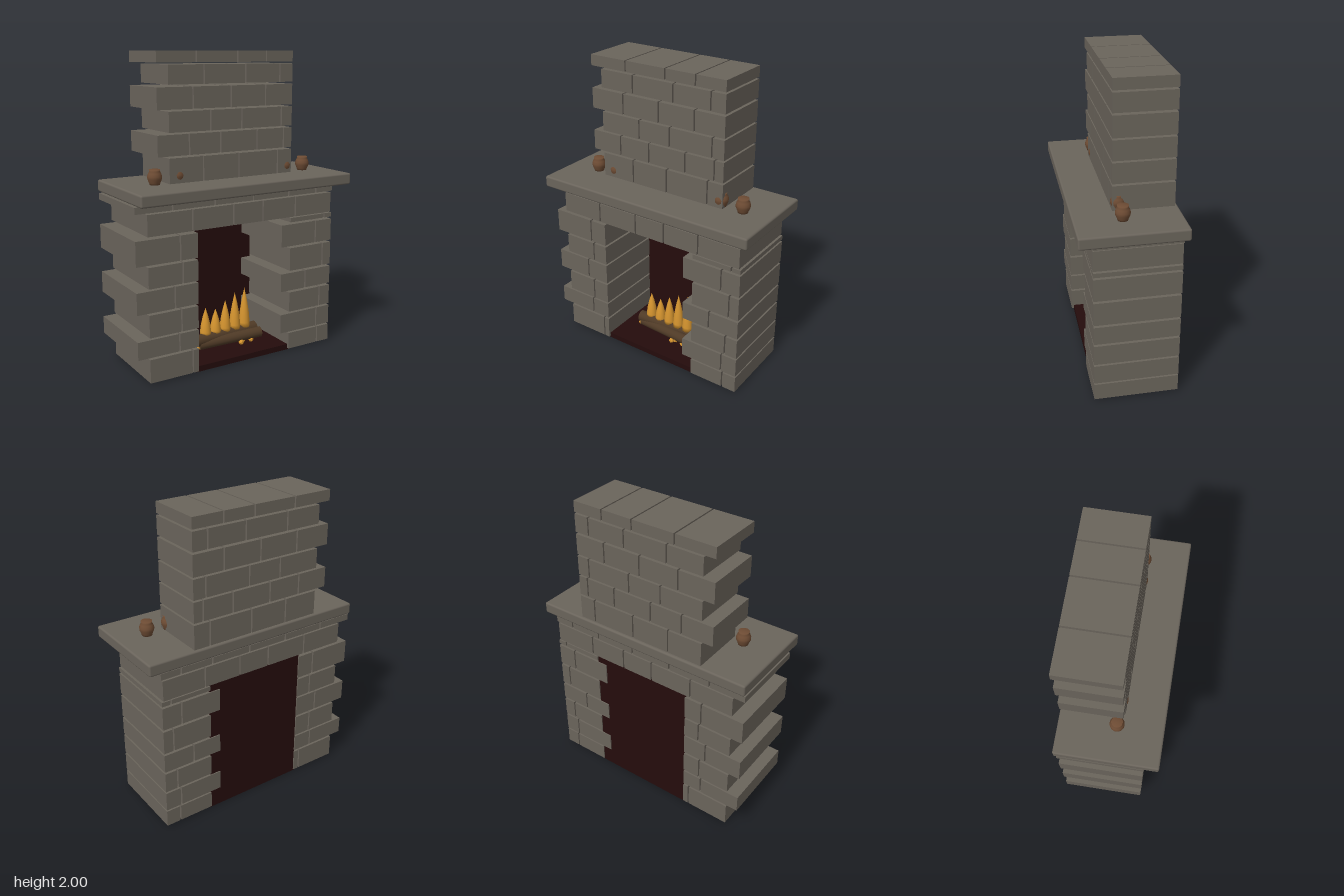
import * as THREE from 'three';
import { RoundedBoxGeometry } from 'three/addons/geometries/RoundedBoxGeometry.js';

const mat = (name, color, flatShading = false) => {
  const m = new THREE.MeshStandardMaterial({ color });
  m.name = name;
  m.flatShading = flatShading;
  return m;
};

export function createModel() {
  const stone = mat('stone', 0x6a645b);
  const soot = mat('soot', 0x240c0c);
  const clay = mat('clay', 0x6e4c34);
  const bark = mat('bark', 0x4f3a26);
  const fire = mat('fire', 0xd6952f);
  const model = new THREE.Group();
  model.name = 'fireplace';

  const add = (parent, name, geometry, material, x, y, z) => {
    const mesh = new THREE.Mesh(geometry, material);
    mesh.name = name;
    mesh.position.set(x, y, z);
    parent.add(mesh);
    return mesh;
  };
  const box = (parent, name, material, x0, x1, y0, y1, z0, z1) =>
    add(parent, name, new THREE.BoxGeometry(x1 - x0, y1 - y0, z1 - z0), material,
      (x0 + x1) / 2, (y0 + y1) / 2, (z0 + z1) / 2);

  // Courses of bricks: each row is [bottom, top, outer edge, joints..., outer edge]
  const GAP = 0.01, BACK = -0.307;
  const masonry = (name, front, rows) => {
    const group = new THREE.Group();
    group.name = name;
    model.add(group);
    for (const [y0, y1, ...xs] of rows) {
      for (let i = 0; i < xs.length - 1; i++) {
        const a = xs[i] + (i > 0 ? GAP / 2 : 0);
        const b = xs[i + 1] - (i < xs.length - 2 ? GAP / 2 : 0);
        box(group, 'brick', stone, a, b, y0, y1, BACK, front);
      }
    }
  };

  masonry('chimney', 0.075, [
    [1.93, 2.0, -0.535, -0.265, 0.03, 0.247, 0.455],
    [1.8, 1.918, -0.457, -0.212, 0.09, 0.354, 0.455],
    [1.652, 1.786, -0.535, -0.29, -0.018, 0.243, 0.455],
    [1.513, 1.64, -0.457, -0.167, 0.063, 0.37, 0.455],
    [1.37, 1.501, -0.535, -0.318, -0.094, 0.18, 0.39, 0.455],
    [1.2, 1.357, -0.457, -0.22, 0.042, 0.344, 0.455],
  ]);
  masonry('lintel', 0.23, [
    [1.073, 1.115, -0.767, -0.521, -0.228, 0.053, 0.328, 0.55, 0.687],
    [0.93, 1.063, -0.687, -0.386, -0.093, 0.127, 0.383, 0.677],
  ]);
  masonry('rightColumn', 0.23, [
    [0.757, 0.913, -0.767, -0.471, -0.35],
    [0.61, 0.743, -0.687, -0.455, -0.35],
    [0.46, 0.598, -0.767, -0.511, -0.35],
    [0.302, 0.446, -0.687, -0.468, -0.35],
    [0.176, 0.29, -0.767, -0.484, -0.35],
    [0.01, 0.162, -0.687, -0.391, -0.35],
  ]);
  masonry('leftColumn', 0.23, [
    [0.894, 0.923, 0.348, 0.625, 0.687],
    [0.732, 0.88, 0.278, 0.555, 0.687],
    [0.562, 0.717, 0.348, 0.618, 0.687],
    [0.425, 0.547, 0.278, 0.476, 0.687],
    [0.275, 0.41, 0.348, 0.6, 0.687],
    [0.133, 0.262, 0.278, 0.577, 0.687],
    [0.01, 0.122, 0.348, 0.588, 0.687],
  ]);

  // Mantel shelf
  add(model, 'mantel', new RoundedBoxGeometry(1.536, 0.076, 0.65, 2, 0.012), stone, 0, 1.162, 0);

  // Sooty back wall and hearth floor
  box(model, 'fireboxBack', soot, -0.352, 0.35, 0.01, 0.93, -0.3, -0.262);
  box(model, 'hearthFloor', soot, -0.36, 0.36, 0, 0.038, -0.3, 0.215);

  // Clay pots on the mantel
  const potProfile = [[0, 0], [0.032, 0], [0.035, 0.012], [0.045, 0.035], [0.046, 0.052],
    [0.04, 0.07], [0.033, 0.082], [0.035, 0.093], [0, 0.093]].map(p => new THREE.Vector2(...p));
  for (const x of [-0.54, -0.386, 0.424, 0.577]) {
    add(model, 'pot', new THREE.LatheGeometry(potProfile, 20), clay, x, 1.2, 0.036);
  }

  // Logs: [length, radius, x, y, z, turn, tilt]
  for (const [len, r, x, y, z, turn, tilt] of [
    [0.48, 0.042, 0, 0.105, -0.02, 0.05, 0],
    [0.46, 0.036, 0.01, 0.085, 0.02, -0.1, 0.04],
    [0.44, 0.036, 0.0, 0.08, -0.075, 0.12, -0.03],
  ]) {
    const log = add(model, 'log', new THREE.CylinderGeometry(r * 0.95, r, len, 14), bark, x, y, z);
    log.rotation.set(0, turn, Math.PI / 2 + tilt, 'YXZ');
  }

  // Flames: slightly swollen cones above the logs
  [0.32, 0.3, 0.345, 0.385, 0.408].forEach((top, i) => {
    const h = top - 0.13;
    const profile = [[0, 0], [0.037, 0], [0.038, 0.12], [0.031, 0.4], [0.018, 0.7], [0, 1]]
      .map(([r, t]) => new THREE.Vector2(r, t * h));
    add(model, 'flame', new THREE.LatheGeometry(profile, 12), fire, -0.156 + i * 0.077, 0.13, -0.025);
  });

  // Glowing embers around the logs
  for (const [x, z] of [[-0.235, 0.0], [-0.212, -0.03], [0.075, 0.06], [0.095, 0.04], [0.16, 0.05], [0.18, 0.0]]) {
    add(model, 'ember', new THREE.IcosahedronGeometry(0.019, 0), fire, x, 0.056, z);
  }
  return model;
}
